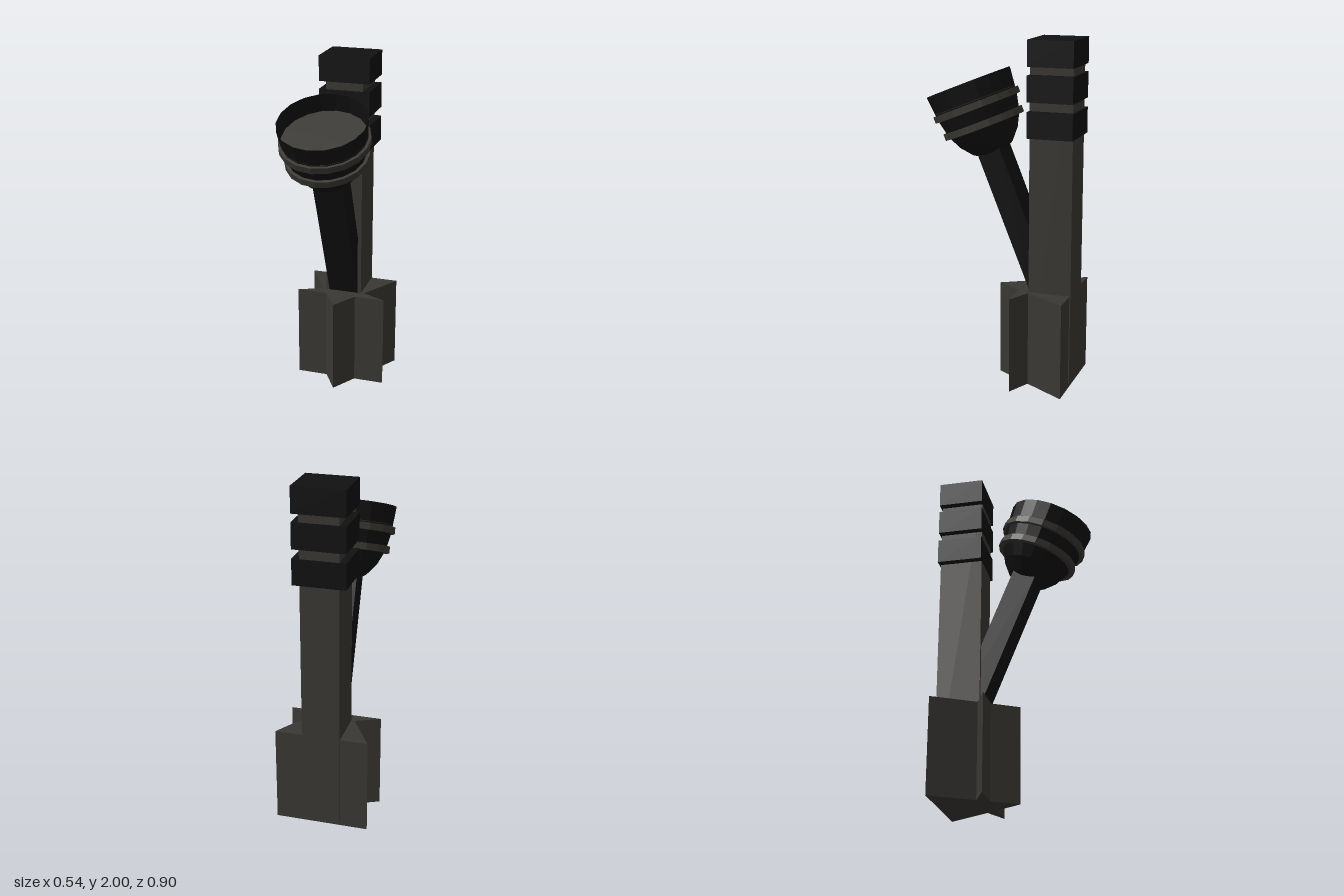
import * as THREE from 'three';

const SIDES = 18;
const black = new THREE.MeshStandardMaterial({ color: 0x111111, flatShading: true, side: THREE.DoubleSide });
const darkGrey = new THREE.MeshStandardMaterial({ color: 0x3a3834, flatShading: true });

function add(parent, name, geometry, material, x = 0, y = 0, z = 0) {
  const mesh = new THREE.Mesh(geometry, material);
  mesh.name = name;
  mesh.position.set(x, y, z);
  parent.add(mesh);
  return mesh;
}

export function createModel() {
  const model = new THREE.Group();
  model.name = 'model';

  // Star-shaped base with a flat back: [x, z] of the right half, mirrored
  const half = [[0.27, -0.435], [0.13, -0.195], [0.27, -0.13], [0.09, -0.13]];
  const outline = [...half, [0, 0.02], ...half.map(([x, z]) => [-x, z]).reverse()];
  const star = new THREE.Shape(outline.map(([x, z]) => new THREE.Vector2(x, -z)));
  const base = new THREE.ExtrudeGeometry(star, { depth: 0.56, bevelEnabled: false });
  base.rotateX(-Math.PI / 2);
  add(model, 'starBase', base, darkGrey);

  // Upright post with three square collars
  add(model, 'post', new THREE.BoxGeometry(0.22, 1.93, 0.25), darkGrey, 0, 0.995, -0.316);
  for (const y of [1.535, 1.735, 1.928]) {
    add(model, 'collar', new THREE.BoxGeometry(0.3, 0.147, 0.263), black, 0, y, -0.318);
  }

  // Leaning arm and cup share one tilted frame, with its origin at the rim centre
  const branch = new THREE.Group();
  branch.name = 'leaningBranch';
  branch.position.set(0, 1.735, 0.215);
  branch.rotation.x = 0.385;
  model.add(branch);

  add(branch, 'arm', new THREE.BoxGeometry(0.176, 0.87, 0.138), black, 0, -0.835, -0.003);

  // Open bowl
  const profile = [[0, -0.445], [0.06, -0.435], [0.12, -0.4], [0.175, -0.335],
    [0.215, -0.255], [0.238, -0.15], [0.253, 0]];
  const bowl = new THREE.LatheGeometry(profile.map(([r, y]) => new THREE.Vector2(r, y)), SIDES);
  add(branch, 'bowl', bowl, black);

  // Disc closing the bowl below its rim
  add(branch, 'innerDisc', new THREE.CylinderGeometry(0.243, 0.24, 0.01, SIDES), darkGrey, 0, -0.112, 0);

  // Raised bands around the bowl
  for (const [r, y] of [[0.258, -0.136], [0.239, -0.247]]) {
    add(branch, 'bowlBand', new THREE.CylinderGeometry(r, r, 0.038, SIDES), darkGrey, 0, y, 0);
  }

  return model;
}
